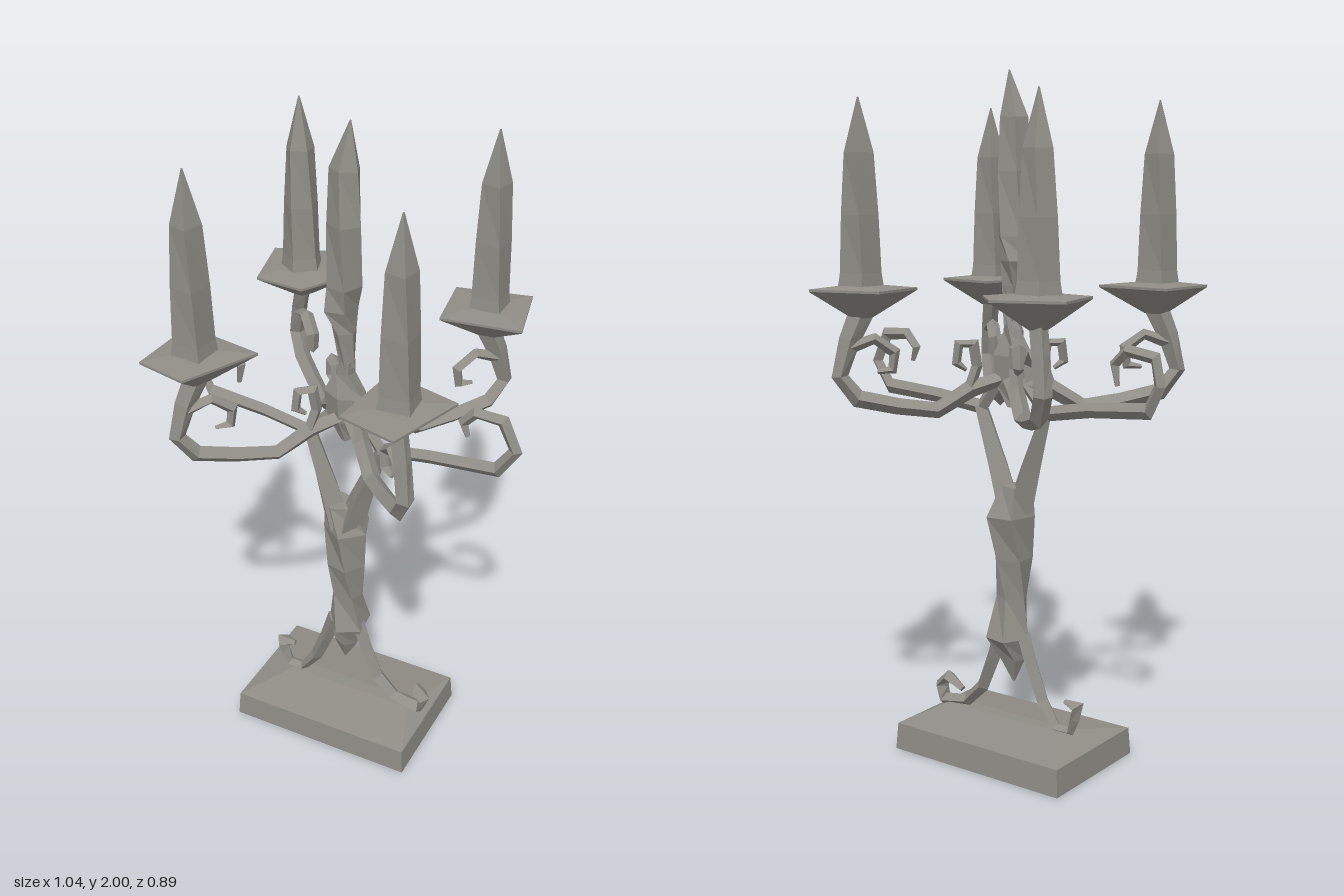
import * as THREE from 'three';

const V = (x, y, z) => new THREE.Vector3(x, y, z);

// Skins a list of equal-length loops, closes both ends, gives facets facing outwards.
function skin(rings) {
  const n = rings[0].length, tris = [];
  const centre = r => r.reduce((a, p) => a.add(p), V(0, 0, 0)).divideScalar(n);
  const first = rings[0], last = rings[rings.length - 1];
  const c0 = centre(first), c1 = centre(last);
  for (let j = 0; j < n; j++) {
    const k = (j + 1) % n;
    tris.push([c0, first[j], first[k]], [c1, last[k], last[j]]);
    for (let i = 0; i < rings.length - 1; i++) {
      const a = rings[i], b = rings[i + 1];
      tris.push([a[j], b[j], b[k]], [a[j], b[k], a[k]]);
    }
  }
  let volume = 0;
  for (const [a, b, c] of tris) {
    volume += a.clone().sub(c0).dot(b.clone().sub(c0).cross(c.clone().sub(c0)));
  }
  const pos = [];
  for (const [a, b, c] of tris) {
    for (const p of volume < 0 ? [a, c, b] : [a, b, c]) pos.push(p.x, p.y, p.z);
  }
  const g = new THREE.BufferGeometry();
  g.setAttribute('position', new THREE.Float32BufferAttribute(pos, 3));
  g.computeVertexNormals();
  return g;
}

// Upright form from sections [x, y, z, radiusX, radiusZ, turn].
function loft(sections, sides) {
  return skin(sections.map(([x, y, z, rx, rz, turn = 0]) =>
    Array.from({ length: sides }, (_, i) => {
      const a = turn + (i / sides) * Math.PI * 2;
      return V(x + rx * Math.cos(a), y, z + rz * Math.sin(a));
    })));
}

// Four-sided bar following points [outward, y, half width] in a vertical plane.
function bar(points, dirX, dirZ, depth) {
  const len = Math.hypot(dirX, dirZ), sx = -dirZ / len, sz = dirX / len;
  return skin(points.map(([t, y, w], i) => {
    const a = points[Math.max(i - 1, 0)], b = points[Math.min(i + 1, points.length - 1)];
    const dt = (b[0] - a[0]) * len, dy = b[1] - a[1], l = Math.hypot(dt, dy) || 1;
    const nt = -dy / l / len, ny = dt / l, d = Math.min(depth, w * 1.3);
    return [[1, 0], [0, 1], [-1, 0], [0, -1]].map(([u, v]) => {
      const tt = t + nt * w * u;
      return V(tt * dirX + sx * d * v, y + ny * w * u, tt * dirZ + sz * d * v);
    });
  }));
}

export function createModel() {
  const model = new THREE.Group();
  model.name = 'candelabrum';
  const metal = new THREE.MeshStandardMaterial({ color: 0x8f8d86 });
  metal.name = 'warm grey';
  const add = (name, geometry) => {
    const mesh = new THREE.Mesh(geometry, metal);
    mesh.name = name;
    model.add(mesh);
  };

  // Plinth with a shallow hipped top
  const rect = (x0, x1, z0, z1, y) => [V(x0, y, z0), V(x1, y, z0), V(x1, y, z1), V(x0, y, z1)];
  add('plinth', skin([
    rect(-0.31, 0.28, -0.2, 0.19, 0),
    rect(-0.305, 0.275, -0.195, 0.185, 0.08),
    rect(-0.2, 0.22, -0.02, 0.02, 0.105),
  ]));

  // Two curled feet
  add('leftFoot', bar([
    [0.03, 0.37, 0.025], [0.06, 0.28, 0.022], [0.1, 0.18, 0.02], [0.16, 0.12, 0.018],
    [0.25, 0.105, 0.02], [0.262, 0.15, 0.022], [0.235, 0.18, 0.02], [0.18, 0.15, 0.01],
  ], 1, 0, 0.03));
  add('rightFoot', bar([
    [0.05, 0.37, 0.025], [0.08, 0.28, 0.022], [0.12, 0.18, 0.02], [0.17, 0.11, 0.015],
    [0.22, 0.11, 0.014], [0.235, 0.15, 0.016], [0.245, 0.19, 0.025], [0.2, 0.195, 0.008],
  ], -1, 0, 0.03));

  // Twisted trunk with a pointed lower end
  add('trunk', loft([
    [-0.015, 0.22, 0, 0.004, 0.004, 0],
    [-0.01, 0.29, 0, 0.04, 0.035, 0.2],
    [-0.005, 0.36, -0.01, 0.065, 0.075, 0.5],
    [-0.01, 0.48, 0, 0.052, 0.038, 0.9],
    [-0.01, 0.6, 0, 0.06, 0.06, 1.2],
    [-0.01, 0.73, -0.01, 0.072, 0.078, 1.5],
    [-0.03, 0.82, 0, 0.05, 0.05, 1.8],
  ], 5));

  // Forked upper trunk
  for (const [side, x0, x1] of [['left', 0, 0.105], ['right', -0.035, -0.13]]) {
    add(side + 'Fork', loft([
      [x0, 0.74, 0, 0.045, 0.055], [(x0 * 0.6 + x1 * 0.4), 0.87, 0, 0.035, 0.045],
      [x1, 1.045, 0, 0.018, 0.03],
    ], 4));
  }

  // Side scrolls, in the plane of the fork
  add('leftScroll', bar([
    [0.03, 1.14, 0.02], [0.1, 1.04, 0.024], [0.25, 1.06, 0.022], [0.45, 1.075, 0.024],
    [0.5, 1.15, 0.02], [0.46, 1.235, 0.022], [0.38, 1.24, 0.018], [0.345, 1.2, 0.016],
    [0.36, 1.16, 0.008],
  ], 1, -0.02, 0.018));
  add('rightScroll', bar([
    [0.04, 1.14, 0.02], [0.13, 1.04, 0.024], [0.28, 1.065, 0.022], [0.47, 1.08, 0.024],
    [0.505, 1.15, 0.018], [0.49, 1.225, 0.02], [0.4, 1.24, 0.018], [0.36, 1.2, 0.016],
    [0.37, 1.14, 0.008],
  ], -1, -0.02, 0.018));

  // Hub and central candle
  add('hub', loft([
    [-0.01, 1.05, 0, 0.015, 0.02], [-0.01, 1.12, 0, 0.06, 0.04, 0.4],
    [-0.01, 1.2, 0, 0.068, 0.045, 0.4], [-0.015, 1.27, 0, 0.03, 0.03, 0.8],
    [-0.005, 1.31, 0, 0.018, 0.03, 0.8],
  ], 5));
  add('centralCandle', loft([
    [-0.005, 1.29, 0, 0.02, 0.03, 0], [-0.015, 1.4, 0, 0.035, 0.035, 0.4],
    [-0.03, 1.47, 0, 0.05, 0.055, 0.8], [-0.015, 1.54, 0, 0.05, 0.055, 1.1],
    [-0.01, 1.72, 0.005, 0.05, 0.05, 1.4], [-0.01, 1.87, 0.005, 0.045, 0.035, 1.6],
    [0.005, 2, 0.005, 0.002, 0.002, 1.6],
  ], 5));

  // Four diagonal arms, each with its hook, dish and candle
  const holders = [
    { name: 'backRight', x: -0.315, z: -0.305, turn: 0.3,
      rim: [[-0.455, -0.385], [-0.265, -0.45], [-0.155, -0.33], [-0.245, -0.17], [-0.4, -0.18]] },
    { name: 'backLeft', x: 0.285, z: -0.315, turn: 0.78,
      rim: [[0.15, -0.39], [0.37, -0.435], [0.42, -0.22], [0.185, -0.19]] },
    { name: 'frontRight', x: -0.31, z: 0.3, turn: 0.85,
      rim: [[-0.415, 0.17], [-0.165, 0.215], [-0.265, 0.435], [-0.42, 0.4]] },
    { name: 'frontLeft', x: 0.29, z: 0.295, turn: 0.7,
      rim: [[0.195, 0.15], [0.415, 0.21], [0.345, 0.445], [0.175, 0.4]] },
  ];
  for (const { name, x, z, turn, rim } of holders) {
    const dx = x / 0.3, dz = z / 0.3;
    add(name + 'Arm', bar([
      [0.02, 1.13, 0.02], [0.08, 1.105, 0.026], [0.15, 1.045, 0.024], [0.23, 1.06, 0.024],
      [0.31, 1.085, 0.026], [0.345, 1.15, 0.024], [0.325, 1.25, 0.03], [0.3, 1.33, 0.035],
    ], dx, dz, 0.025));
    add(name + 'InnerCurl', bar([
      [0.085, 1.1, 0.016], [0.068, 1.17, 0.016], [0.075, 1.235, 0.018],
      [0.105, 1.235, 0.016], [0.11, 1.18, 0.014], [0.09, 1.16, 0.006],
    ], dx, dz, 0.02));
    add(name + 'Hook', bar([
      [0.325, 1.23, 0.018], [0.275, 1.255, 0.016], [0.235, 1.215, 0.018],
      [0.24, 1.165, 0.015], [0.27, 1.16, 0.006],
    ], dx, dz, 0.02));

    // Dish: its rim shrinks to the stem below and to the candle above
    const loop = (s, y) => rim.map(([rx, rz]) => V(x + (rx - x) * s, y, z + (rz - z) * s));
    add(name + 'Dish', skin([loop(0.2, 1.315), loop(1, 1.39), loop(1, 1.397), loop(0.45, 1.405)]));
    const sides = rim.length;
    add(name + 'Candle', loft([
      [x, 1.39, z, 0.066, 0.066, turn], [x, 1.44, z, 0.058, 0.058, turn],
      [x, 1.6, z, 0.052, 0.052, turn + 0.1], [x, 1.77, z, 0.042, 0.042, turn + 0.25],
      [x, 1.92, z, 0.002, 0.002, turn + 0.25],
    ], sides));
  }

  return model;
}
